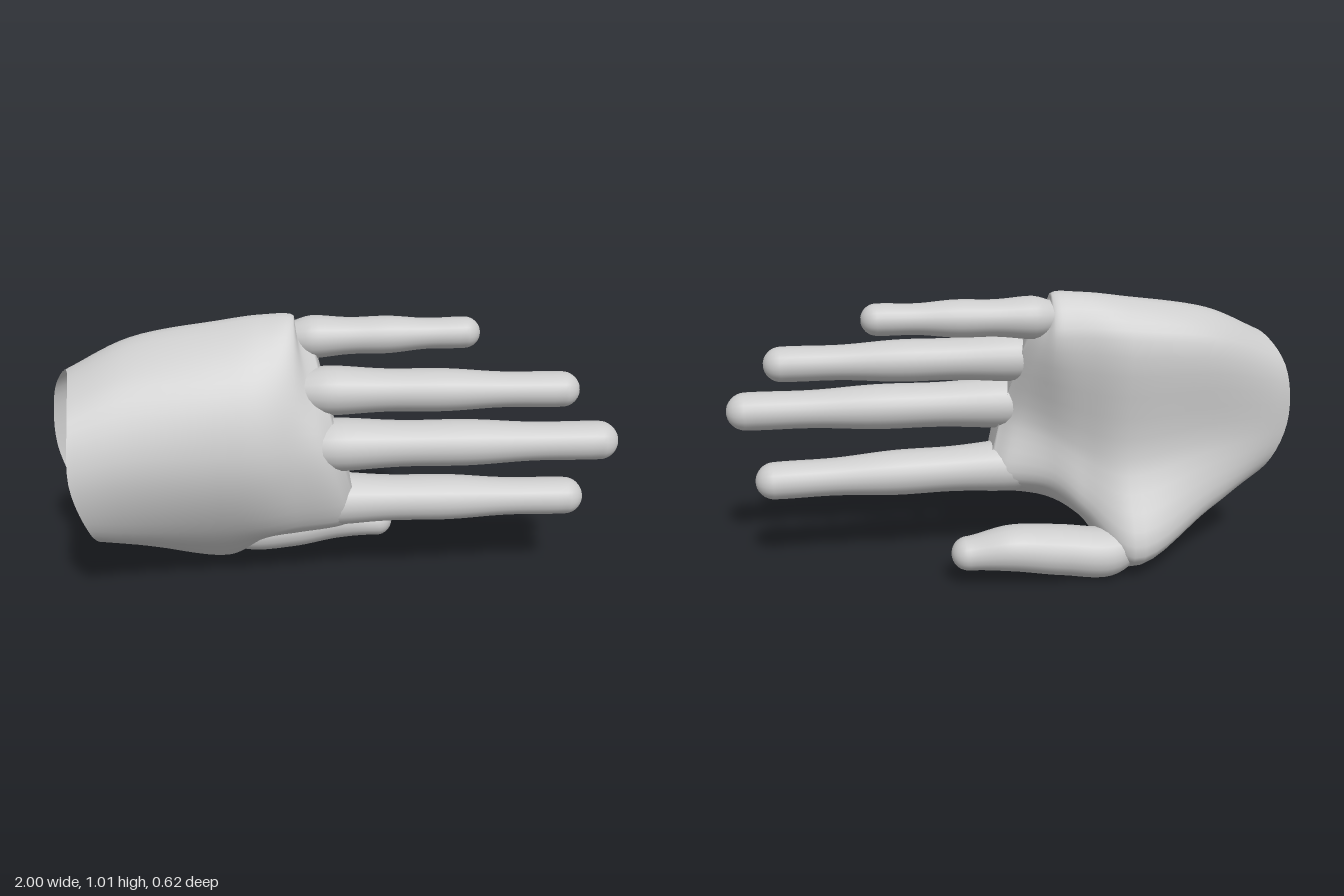
import * as THREE from 'three';

const { lerp, smoothstep } = THREE.MathUtils;
const material = new THREE.MeshStandardMaterial({ color: 0xcccccc, side: THREE.DoubleSide });

// Skin a list of closed rings that advance along +x; the far end is closed
function skin(name, rings) {
  const n = rings[0].length, index = [];
  const points = rings.flat();
  for (let i = 0; i < rings.length - 1; i++) {
    for (let j = 0; j < n; j++) {
      const a = i * n + j, b = i * n + (j + 1) % n;
      index.push(a, b, a + n, b, b + n, a + n);
    }
  }
  const start = points.length - n, end = points.length;
  const centre = new THREE.Vector3();
  rings[rings.length - 1].forEach(p => centre.addScaledVector(p, 1 / n));
  for (let j = 0; j < n; j++) index.push(start + j, start + (j + 1) % n, end);
  const geometry = new THREE.BufferGeometry().setFromPoints([...points, centre]);
  geometry.setIndex(index);
  geometry.computeVertexNormals();
  const mesh = new THREE.Mesh(geometry, material);
  mesh.name = name;
  return mesh;
}

// Round digit along a path, with a radius rule over 0..1 and a domed tip
function digit(name, path, radius) {
  const ring = (c, r) => Array.from({ length: 20 }, (_, j) => {
    const a = j / 20 * Math.PI * 2;
    return new THREE.Vector3(c.x, c.y + r * Math.cos(a), c.z + r * 1.1 * Math.sin(a));
  });
  const rings = [];
  for (let i = 0; i <= 30; i++) rings.push(ring(path.getPoint(i / 30), radius(i / 30)));
  const tip = path.getPoint(1), r = radius(1);
  for (let i = 1; i < 8; i++) {
    const a = i / 8 * Math.PI / 2;
    rings.push(ring(tip.clone().setX(tip.x + r * Math.sin(a)), r * Math.cos(a)));
  }
  return skin(name, rings);
}

// Tapering finger with a slight swelling at its joints and a narrow root buried in the palm
function finger(name, root, tip, rootRadius, tipRadius) {
  const path = new THREE.LineCurve3(new THREE.Vector3(...root), new THREE.Vector3(...tip));
  return digit(name, path, t => lerp(.55, 1, smoothstep(t, 0, .22)) *
    (lerp(rootRadius, tipRadius, t) + .003 * Math.cos((t - .2) * Math.PI * 5)));
}

// Thumb through a few [x, y, z, radius] stations
function thumb() {
  const keys = [[-.5, .15, -.17, .05], [-.33, .09, -.205, .086], [-.14, .105, -.2, .09],
    [.04, .127, -.205, .081], [.185, .115, -.198, .06]];
  const path = new THREE.CatmullRomCurve3(keys.map(k => new THREE.Vector3(...k.slice(0, 3))));
  const radii = new THREE.SplineCurve(keys.map(k => new THREE.Vector2(k[0], k[3])));
  return digit('thumb', path, t => radii.getPoint(t).y);
}

// Slanted open wrist rim, and web line stepping back towards the little finger
const wristX = (z, y) => -.875 - .3 * (.31 - z) + .9 * (y - .52) ** 2 - .1 * (y - .52);
const webX = (z, y) => -.03 - .25 * (y - .6);

// Palm outlines as [z, y]: little-finger edge, over the back, thumb edge, along the palm
const sections = [
  { x: wristX, pts: [[0, .83], [.21, .76], [.31, .54], [.24, .31],
    [.1, .22], [-.07, .31], [-.115, .5], [-.1, .72]] },
  { x: () => -.7, pts: [[-.05, .925], [.17, .82], [.285, .56], [.18, .26],
    [0, .155], [-.19, .23], [-.165, .48], [-.175, .82]] },
  { x: () => -.39, pts: [[-.06, .98], [.16, .83], [.255, .55], [.13, .23],
    [-.14, .015], [-.305, .1], [-.17, .42], [-.18, .85]] },
  { x: () => -.24, pts: [[-.06, 1], [.14, .84], [.24, .55], [.14, .25],
    [0, .17], [-.14, .22], [-.1, .45], [-.16, .86]] },
  { x: () => -.13, pts: [[-.05, 1], [.11, .83], [.21, .56], [.15, .28],
    [.06, .215], [-.06, .3], [-.06, .51], [-.15, .86]] },
  { x: webX, pts: [[-.05, .975], [.085, .8], [.185, .56], [.135, .3],
    [.06, .25], [-.04, .33], [-.015, .55], [-.12, .86]] },
];

function palm() {
  const outlines = sections.map(s => s.pts.map(([z, y]) => new THREE.Vector3(s.x(z, y), y, z)));
  // Webs between the fingers round off towards the arched knuckle line
  outlines.push(outlines[outlines.length - 1].map(p => new THREE.Vector3(
    p.x + .05, lerp(p.y, .6, .06), lerp(p.z, .09 - 1.1 * (p.y - .57) ** 2, .5))));
  const loops = outlines.map(o => new THREE.CatmullRomCurve3(o, true));
  const columns = Array.from({ length: 48 }, (_, j) =>
    new THREE.CatmullRomCurve3(loops.map(l => l.getPoint(j / 48))));
  return skin('palm', Array.from({ length: 43 }, (_, i) => columns.map(c => c.getPoint(i / 42))));
}

export function createModel() {
  const hand = new THREE.Group();
  hand.name = 'hand';
  hand.add(
    palm(),
    finger('littleFinger', [-.2, .915, -.06], [.467, .928, -.055], .077, .051),
    finger('ringFinger', [-.22, .755, .035], [.797, .757, .065], .09, .058),
    finger('middleFinger', [-.22, .572, .09], [.933, .58, .108], .097, .064),
    finger('indexFinger', [-.22, .345, .055], [.847, .335, .05], .1, .063),
    thumb(),
  );
  return hand;
}
